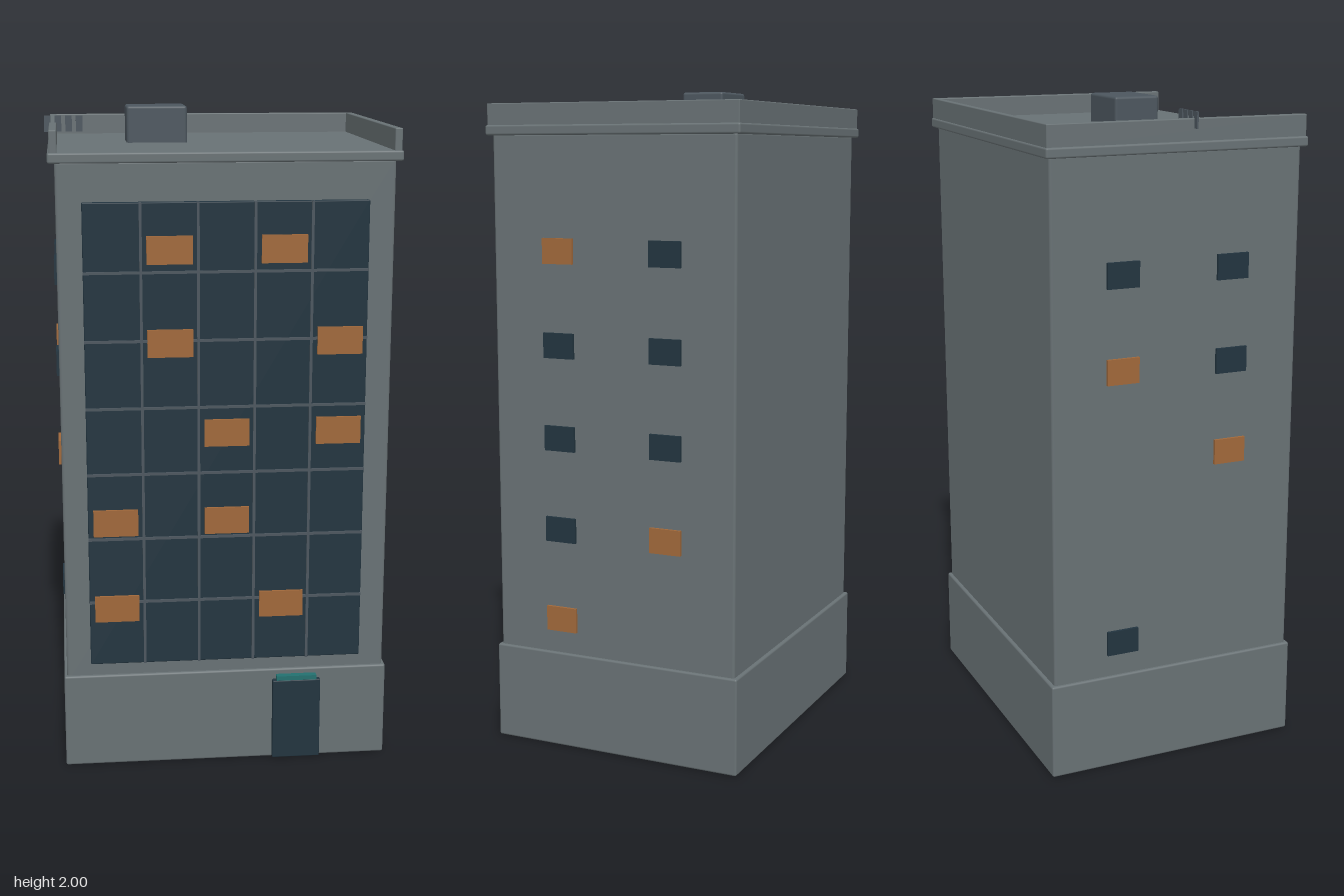
import * as THREE from 'three';
import { RoundedBoxGeometry } from 'three/addons/geometries/RoundedBoxGeometry.js';

const paint = (color) => new THREE.MeshStandardMaterial({ color });

export function createModel() {
  const model = new THREE.Group();
  const wall = paint(0x687174);
  const glass = paint(0x22343f);
  const lit = paint(0xa0683a);
  const metal = paint(0x4c565e);
  const teal = paint(0x23706f);

  // Box given by its limits on each axis; a bevel above 0 rounds the edges
  function block(name, material, [x0, x1], [y0, y1], [z0, z1], bevel = 0, parent = model) {
    const size = [x1 - x0, y1 - y0, z1 - z0];
    const geometry = bevel
      ? new RoundedBoxGeometry(...size, 2, bevel)
      : new THREE.BoxGeometry(...size);
    const mesh = new THREE.Mesh(geometry, material);
    mesh.name = name;
    mesh.position.set((x0 + x1) / 2, (y0 + y1) / 2, (z0 + z1) / 2);
    parent.add(mesh);
    return mesh;
  }
  function group(name) {
    const g = new THREE.Group();
    g.name = name;
    model.add(g);
    return g;
  }

  // Main masses
  block('groundFloor', wall, [-0.497, 0.505], [0, 0.297], [-0.412, 0.396], 0.006);
  block('tower', wall, [-0.488, 0.496], [0.28, 1.865], [-0.401, 0.386], 0.008);
  block('roofSlab', wall, [-0.508, 0.515], [1.86, 1.89], [-0.417, 0.4], 0.006);

  // Parapet on the back and both sides, open at the front
  const parapet = group('parapet');
  block('parapetRight', wall, [-0.502, -0.48], [1.88, 1.953], [-0.413, 0.395], 0.003, parapet);
  block('parapetLeft', wall, [0.488, 0.51], [1.88, 1.953], [-0.413, 0.395], 0.003, parapet);
  block('parapetBack', wall, [-0.502, 0.51], [1.88, 1.953], [-0.413, -0.394], 0.003, parapet);

  // Rooftop unit and the row of small posts by the edge
  block('rooftopUnit', metal, [-0.267, -0.082], [1.88, 2], [-0.106, 0.033], 0.008);
  const posts = group('rooftopPosts');
  for (let i = 0; i < 4; i++) {
    const x = -0.507 + i * 0.032;
    block('post', metal, [x - 0.01, x + 0.01], [1.925, 1.973], [0.032, 0.037], 0, posts);
  }

  // Glazed front with mullions and transoms
  const facade = group('glazedFront');
  const X = [-0.414, 0.418], Y = [0.34, 1.75];
  block('glazing', glass, X, Y, [0.38, 0.406], 0.003, facade);
  for (let i = 1; i < 5; i++) {
    const x = X[0] + (i * (X[1] - X[0])) / 5;
    block('mullion', metal, [x - 0.004, x + 0.004], Y, [0.39, 0.411], 0, facade);
  }
  for (let i = 1; i < 7; i++) {
    const y = Y[0] + (i * (Y[1] - Y[0])) / 7;
    block('transom', metal, X, [y - 0.004, y + 0.004], [0.39, 0.411], 0, facade);
  }

  // Lit front panels: the columns used in each row, from the bottom up
  const litColumns = [[0, 3], [0, 2], [2, 4], [1, 4], [1, 3]];
  litColumns.forEach((columns, row) => columns.forEach((c) => {
    const x = 0.003 + (c - 2) * 0.167, y = 0.521 + row * 0.273;
    block('litPanel', lit, [x - 0.067, x + 0.067], [y - 0.041, y + 0.041], [0.395, 0.414], 0, facade);
  }));

  // Side windows per column, from the bottom up: L lit, D dark, - none
  const sides = group('sideWindows');
  const windows = [
    { face: 0.496, z: 0.168, rows: 'LDDDL' },
    { face: 0.496, z: -0.181, rows: '-LDDD' },
    { face: -0.488, z: 0.168, rows: '--LDD' },
    { face: -0.488, z: -0.181, rows: 'D--LD' },
  ];
  for (const { face, z, rows } of windows) {
    [...rows].forEach((kind, row) => {
      if (kind === '-') return;
      const y = 0.404 + row * 0.28;
      block('sideWindow', kind === 'L' ? lit : glass, [face - 0.009, face + 0.009],
        [y - 0.038, y + 0.038], [z - 0.05, z + 0.05], 0, sides);
    });
  }

  // Entrance
  block('door', glass, [0.148, 0.297], [0.004, 0.264], [0.385, 0.414], 0.003);
  block('doorLight', teal, [0.16, 0.284], [0.266, 0.28], [0.39, 0.417]);

  return model;
}
